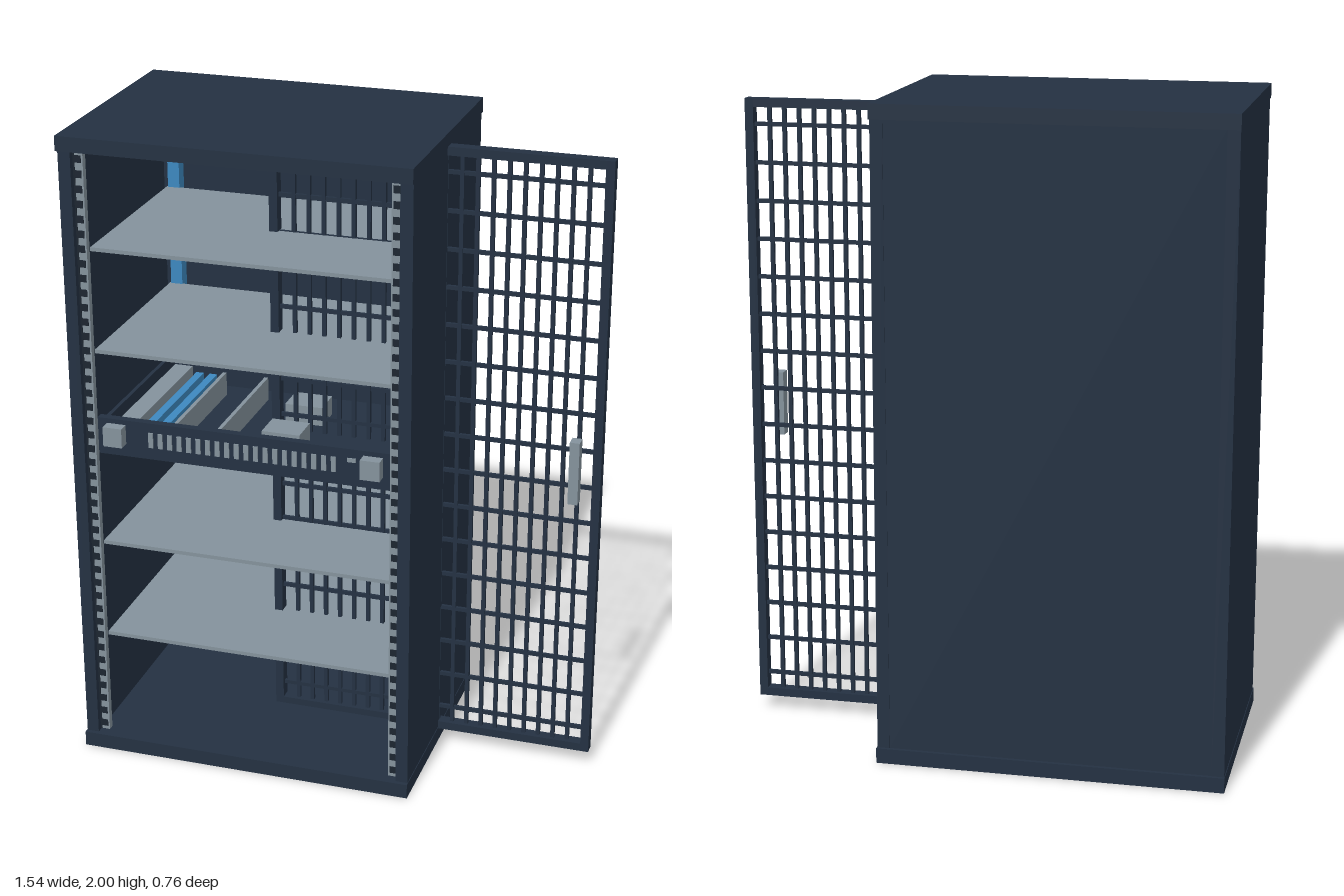
import * as THREE from 'three';

const mat = (name, color, rough) => {
  const m = new THREE.MeshStandardMaterial({ color });
  m.name = name;
  return m;
};

export function createModel() {
  const navy = mat('navy steel', 0x243142);
  const dark = mat('dark steel', 0x1c2530);
  const grey = mat('grey metal', 0x84929c);
  const blue = mat('blue cable', 0x3d88bf);
  const red = mat('red cable', 0xcb5f4d);

  const root = new THREE.Group();
  root.name = 'equipmentCabinet';
  const group = (name) => {
    const g = new THREE.Group();
    g.name = name;
    root.add(g);
    return g;
  };
  // box given by its minimum and maximum on each axis
  const box = (parent, name, m, x0, x1, y0, y1, z0, z1) => {
    const mesh = new THREE.Mesh(new THREE.BoxGeometry(x1 - x0, y1 - y0, z1 - z0), m);
    mesh.position.set((x0 + x1) / 2, (y0 + y1) / 2, (z0 + z1) / 2);
    mesh.name = name;
    parent.add(mesh);
  };

  const L = -0.775, R = 0.285, CX = (L + R) / 2;

  // cabinet shell
  const shell = group('shell');
  box(shell, 'topCap', navy, L, R, 1.955, 2, -0.378, 0.378);
  box(shell, 'bottomCap', navy, L, R, 0, 0.047, -0.378, 0.378);
  box(shell, 'rightWall', navy, L + 0.002, L + 0.04, 0.047, 1.955, -0.368, 0.365);
  box(shell, 'leftWall', navy, R - 0.04, R - 0.002, 0.047, 1.955, -0.368, 0.365);
  box(shell, 'backPanel', navy, L + 0.04, R - 0.04, 0.047, 1.955, -0.366, -0.34);

  // mounting rails with a column of square holes
  const rails = group('mountingRails');
  const units = 42, pitch = 1.9 / units;
  for (const s of [-1, 1]) {
    const outer = CX + s * 0.49, inner = CX + s * 0.46;
    box(rails, 'rail', grey, Math.min(outer, inner), Math.max(outer, inner), 0.05, 1.952, 0.325, 0.345);
    const hx = CX + s * 0.478;
    box(rails, 'railEdge', dark, CX + s * 0.488 - 0.003, CX + s * 0.488 + 0.003, 0.05, 1.952, 0.343, 0.347);
    for (let i = 0; i < units; i++) {
      const y = 0.05 + (i + 0.5) * pitch;
      box(rails, 'railHole', dark, hx - 0.013, hx + 0.013, y - 0.011, y + 0.011, 0.344, 0.347);
    }
  }

  // shelves
  const shelves = group('shelves');
  for (const y of [0.378, 0.695, 1.325, 1.645])
    box(shelves, 'shelf', grey, -0.71, 0.218, y - 0.006, y + 0.006, -0.3, 0.31);

  // vertical cable runs at the back
  const cables = group('cableRuns');
  box(cables, 'blueCableRun', blue, -0.705, -0.667, 0.11, 1.895, -0.335, -0.295);
  box(cables, 'redCableRun', red, 0.172, 0.21, 0.11, 1.895, -0.335, -0.295);

  // open-topped rack unit
  const unit = group('rackUnit');
  box(unit, 'unitFront', navy, -0.71, 0.218, 0.998, 1.115, 0.29, 0.315);
  box(unit, 'unitFloor', navy, -0.7, 0.208, 0.998, 1.01, -0.28, 0.29);
  box(unit, 'unitBack', navy, -0.7, 0.208, 1.01, 1.105, -0.28, -0.268);
  for (const x of [-0.7, 0.196])
    box(unit, 'unitSide', navy, x, x + 0.012, 1.01, 1.105, -0.268, 0.29);
  for (const x of [-0.68, 0.125])
    box(unit, 'unitHandle', grey, x, x + 0.06, 1.038, 1.1, 0.315, 0.35);
  for (let i = 0; i < 20; i++) {
    const x = -0.547 + i * 0.0302;
    box(unit, 'unitVent', grey, x, x + 0.015, 1.037, 1.085, 0.314, 0.319);
  }
  box(unit, 'unitSwitch', grey, 0.077, 0.103, 1.075, 1.087, 0.314, 0.32);

  // components inside the unit
  box(unit, 'powerSupply', grey, -0.67, -0.61, 1.01, 1.085, -0.22, 0.27);
  for (const x of [-0.59, -0.545])
    box(unit, 'memoryModule', blue, x, x + 0.025, 1.01, 1.075, -0.2, 0.25);
  for (const x of [-0.5, -0.36])
    box(unit, 'divider', grey, x, x + 0.012, 1.01, 1.085, -0.2, 0.25);
  for (const z of [-0.1, 0.12])
    box(unit, 'heatSink', grey, -0.24, -0.12, 1.01, 1.07, z - 0.05, z + 0.05);

  // open mesh door
  const door = group('meshDoor');
  const D0 = -0.26, D1 = 0.77, Y0 = 0.043, Y1 = 1.96, T = 0.018, F = 0.026;
  box(door, 'doorStile', navy, D0, D0 + F, Y0, Y1, -T, T);
  box(door, 'doorStile', navy, D1 - F, D1, Y0, Y1, -T, T);
  box(door, 'doorRail', navy, D0 + F, D1 - F, Y0, Y0 + F, -T, T);
  box(door, 'doorRail', navy, D0 + F, D1 - F, Y1 - F, Y1, -T, T);
  const cols = 21, step = (D1 - D0 - 2 * F) / cols;
  for (let i = 1; i < cols; i++) {
    const x = D0 + F + i * step;
    box(door, 'verticalBar', navy, x - 0.006, x + 0.006, Y0 + F, Y1 - F, -0.006, 0.006);
  }
  for (let i = 0; i < 16; i++) {
    const y = 1 + (i - 7.5) * 0.1175;
    box(door, 'horizontalBar', navy, D0 + F, D1 - F, y - 0.006, y + 0.006, -0.005, 0.005);
  }
  box(door, 'doorHandle', grey, 0.68, 0.71, 0.905, 1.105, T, 0.056);

  return root;
}
